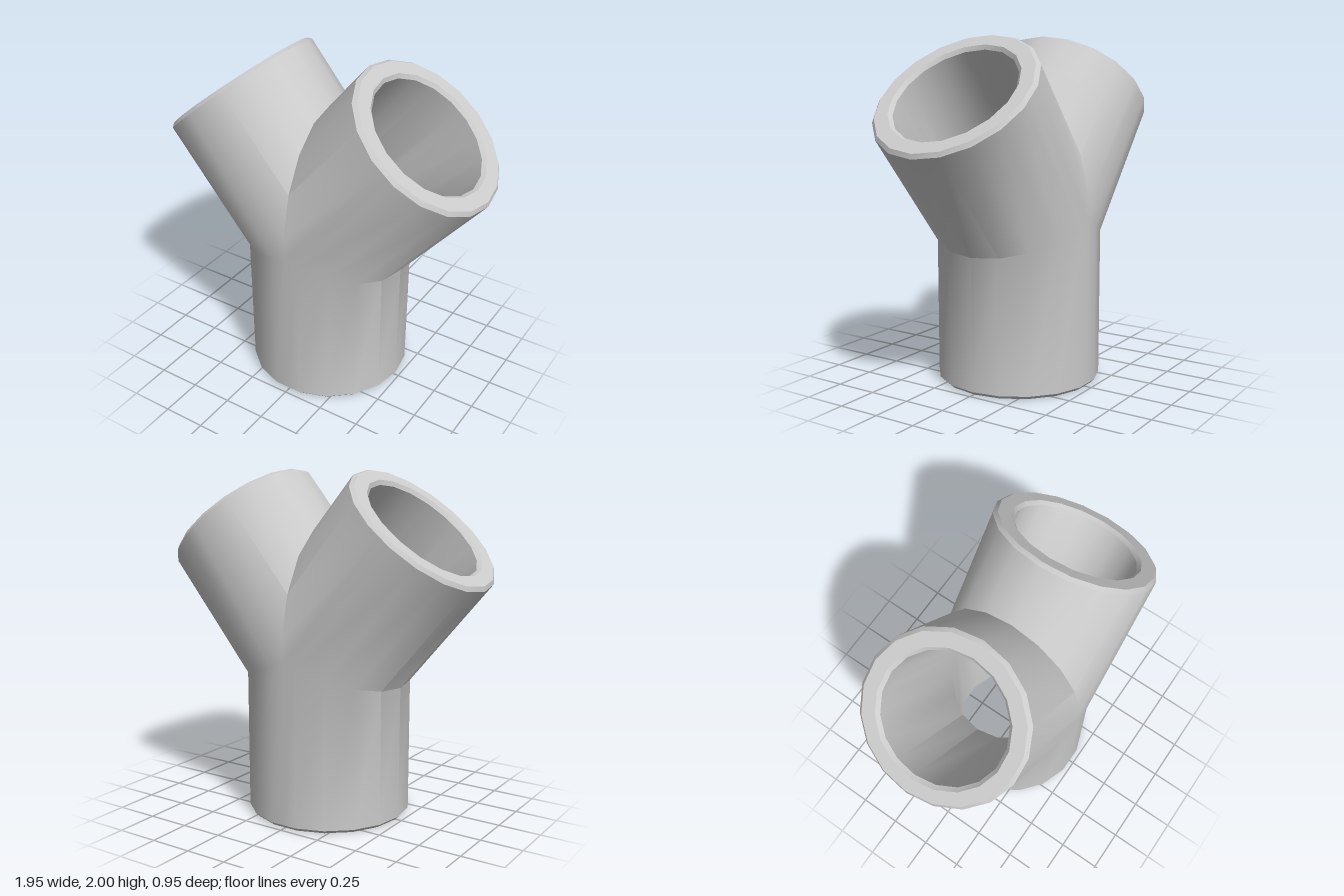
import * as THREE from 'three';
import { mergeGeometries, toCreasedNormals } from 'three/addons/utils/BufferGeometryUtils.js';

const SIDES = 18, OUTER = 0.48, INNER = 0.36, BEVEL = 0.02;
const JOINT = 0.966;                      // height where the three axes meet
const TILT = THREE.MathUtils.degToRad(40); // arm angle from vertical

// Unit cross-section: an 18-gon, plus a point mid-way on its front and back flats
// so that all three tubes meet exactly at the joint.
function crossSection() {
  const ring = [];
  for (let i = 0; i < SIDES; i++) {
    const t = (i / SIDES) * Math.PI * 2;
    ring.push([Math.cos(t), Math.sin(t)]);
    const next = ((i + 1) / SIDES) * Math.PI * 2;
    if (Math.cos(t) * Math.cos(next) < 0) ring.push([0, Math.sin(t)]);
  }
  return ring;
}

// Thick tube leaving the joint at the given angle; cut(a) is the mitre at sideways offset a.
function tube(angle, length, cut) {
  const ring = crossSection();
  const profile = [
    [OUTER, null], [OUTER, length - BEVEL], [OUTER - BEVEL, length],
    [INNER + BEVEL, length], [INNER, length - BEVEL], [INNER, null],
  ];
  const sin = Math.sin(angle), cos = Math.cos(angle);
  const round = (v) => Math.round(v * 1e4) / 1e4;
  const positions = [], index = [], n = ring.length;
  profile.forEach(([r, along], j) => {
    ring.forEach(([c, s], i) => {
      const a = c * r, d = along ?? cut(a);
      positions.push(round(a * cos + d * sin), round(JOINT - a * sin + d * cos), round(s * r));
      if (j === profile.length - 1) return;
      const p = j * n + i, q = j * n + ((i + 1) % n);
      index.push(p, p + n, q, q, p + n, q + n);
    });
  });
  const geometry = new THREE.BufferGeometry();
  geometry.setAttribute('position', new THREE.Float32BufferAttribute(positions, 3));
  geometry.setIndex(index);
  return geometry;
}

export function createModel() {
  const group = new THREE.Group();
  group.name = 'wyePipeFitting';

  // Arms are mitred against the trunk on the outside and each other on the inside
  const armCut = (a) => (a > 0 ? a * Math.tan(TILT / 2) : -a / Math.tan(TILT));
  const leftArm = tube(TILT, 0.964, armCut);
  const rightArm = leftArm.clone().rotateY(Math.PI);

  // Trunk points straight down to the ground
  const trunk = tube(Math.PI, JOINT, (a) => Math.abs(a) * Math.tan(TILT / 2));

  // One continuous body: soft at the trunk joint, crisp at the crotch and bevels
  const body = new THREE.Mesh(
    toCreasedNormals(mergeGeometries([leftArm, rightArm, trunk]), 0.72),
    new THREE.MeshStandardMaterial({ color: 0xcccccc }),
  );
  body.name = 'branchedPipeBody';
  group.add(body);
  return group;
}
